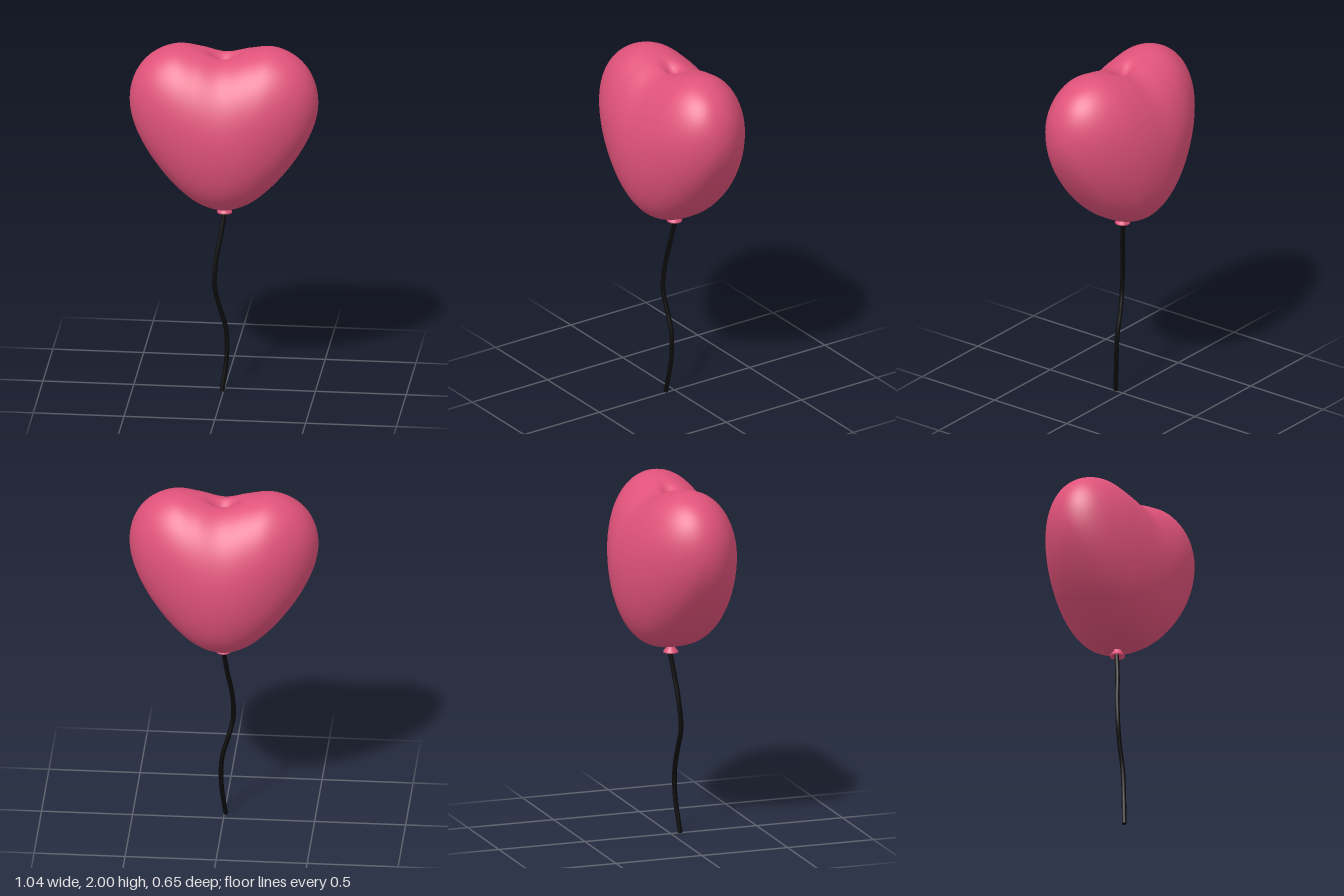
import * as THREE from 'three';
import { mergeVertices } from 'three/addons/utils/BufferGeometryUtils.js';

// Mid-height and half-height of the body at 15 degree steps from its centre to its side tip
const STATIONS = [
  [1.508, 0.443], [1.541, 0.454], [1.599, 0.459], [1.646, 0.450],
  [1.678, 0.440], [1.692, 0.432], [1.695, 0.430],
];

function makeBody() {
  const toPoint = ([mid, half]) => new THREE.Vector3(mid, half, 0);
  const mirrored = [...STATIONS.slice(1).reverse(), ...STATIONS].map(toPoint);
  const stations = new THREE.CatmullRomCurve3(mirrored, false, 'catmullrom', 0.5);

  // Sphere with its poles at the two sides, bent into a heart
  let geo = new THREE.SphereGeometry(1, 112, 80);
  geo.rotateZ(-Math.PI / 2);
  const pos = geo.attributes.position;
  const v = new THREE.Vector3();
  for (let i = 0; i < pos.count; i++) {
    v.fromBufferAttribute(pos, i);
    const t = Math.asin(THREE.MathUtils.clamp(v.x, -1, 1));
    const r = Math.cos(t);
    const a = Math.atan2(v.y, v.z);
    const { x: mid, y: half } = stations.getPoint(THREE.MathUtils.clamp(t / Math.PI + 0.5, 0, 1));
    const x = 0.518 * v.x;
    // The lower half is a little fuller than an ellipse
    const c = Math.cos(a);
    const fullness = Math.sin(a) < 0 ? 0.78 : 0.97;
    const z = 0.327 * r * Math.sign(c) * Math.abs(c) ** fullness;
    let y = mid + half * r * Math.sin(a);
    // Small dimple between the lobes
    if (Math.sin(a) > 0) y -= 0.05 * Math.exp(-((x / 0.075) ** 2) - (z / 0.035) ** 2);
    pos.setXYZ(i, x, y, z + 0.03 * v.x * v.x);
  }
  geo.deleteAttribute('uv');
  geo.deleteAttribute('normal');
  geo = mergeVertices(geo, 1e-5);
  geo.computeVertexNormals();
  return geo;
}

export function createModel() {
  const group = new THREE.Group();
  const pink = new THREE.MeshStandardMaterial({ color: 0xe0527a });
  const pinkThin = new THREE.MeshStandardMaterial({ color: 0xe0527a, side: THREE.DoubleSide });
  const black = new THREE.MeshStandardMaterial({ color: 0x0a0a0a });

  const add = (name, geo, mat) => {
    const mesh = new THREE.Mesh(geo, mat);
    mesh.name = name;
    group.add(mesh);
    return mesh;
  };

  add('heartBalloon', makeBody(), pink);

  // Flared knot, hollow underneath
  const knot = [[0, 1.05], [0.015, 1.045], [0.034, 1.027], [0.042, 1.028], [0.04, 1.036], [0.025, 1.055], [0.018, 1.08]];
  add('knot', new THREE.LatheGeometry(knot.map(([x, y]) => new THREE.Vector2(x, y)), 24), pinkThin);

  // Wavy string with flat ends
  const path = new THREE.CatmullRomCurve3([
    [0.003, 1.05, -0.007], [-0.02, 0.89, 0.016], [-0.045, 0.75, 0.032], [-0.05, 0.6, 0.042],
    [-0.022, 0.48, 0.032], [0.01, 0.36, 0.027], [0.015, 0.2, 0.032], [-0.008, 0.002, 0.053],
  ].map((p) => new THREE.Vector3(...p)));
  const radius = 0.013;
  add('string', new THREE.TubeGeometry(path, 60, radius, 10), black);
  const end = add('stringEnd', new THREE.CircleGeometry(radius, 10), black);
  end.position.copy(path.getPoint(1));
  end.lookAt(end.position.clone().add(path.getTangent(1)));

  return group;
}
